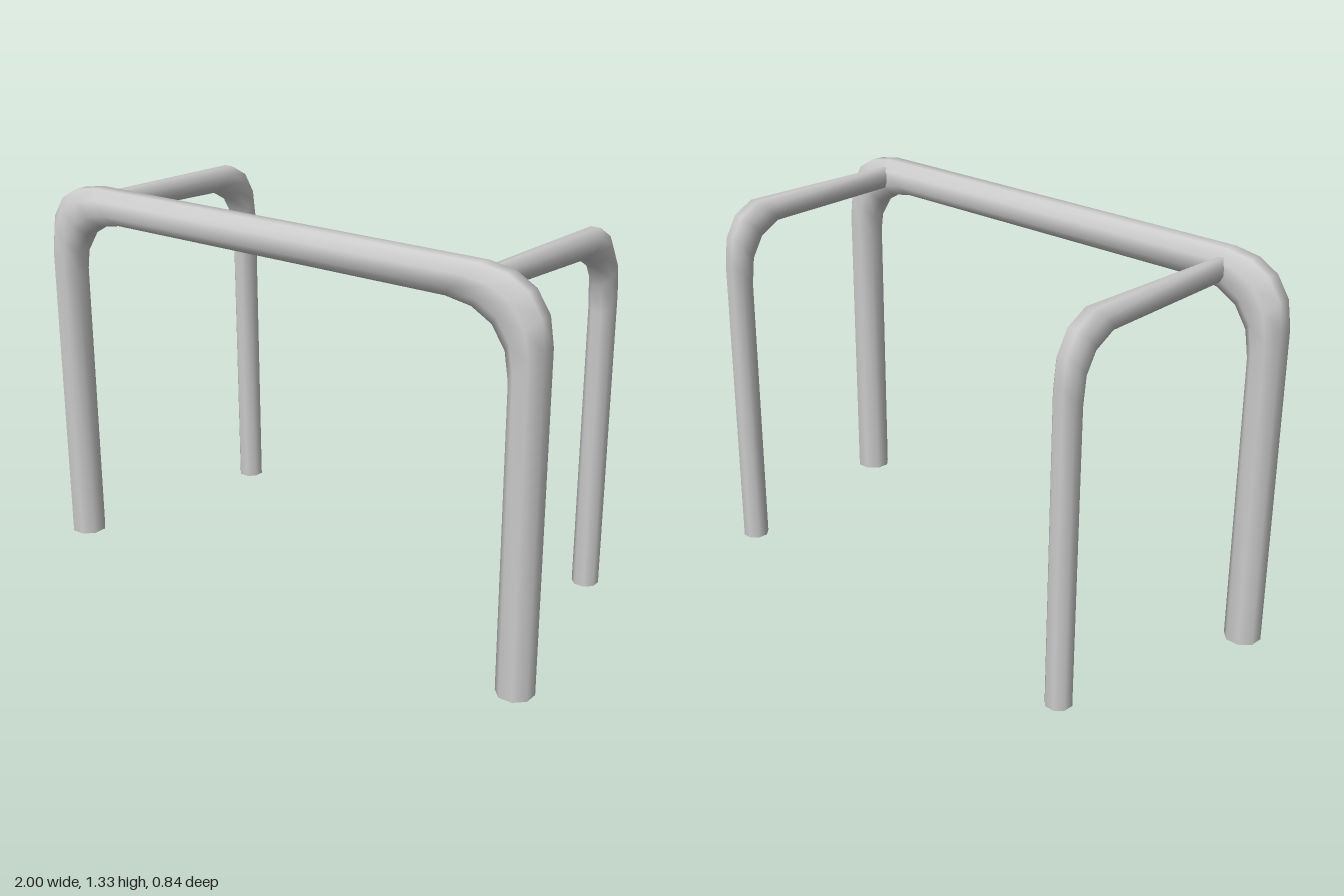
import * as THREE from 'three';

const SIDES = 8;

// Sweeps a capped tube through rings given as { c: centre, a, b: half-axes }.
function tube(name, rings) {
  const pos = [], index = [];
  const k = 1 / Math.cos(Math.PI / SIDES);
  const addRing = ({ c, a, b }) => {
    for (let j = 0; j < SIDES; j++) {
      const t = ((j + 0.5) / SIDES) * Math.PI * 2;
      for (let n = 0; n < 3; n++) pos.push(c[n] + k * (a[n] * Math.cos(t) + b[n] * Math.sin(t)));
    }
  };
  rings.forEach(addRing);
  for (let i = 0; i < rings.length - 1; i++) {
    for (let j = 0; j < SIDES; j++) {
      const j1 = (j + 1) % SIDES, p = i * SIDES, q = p + SIDES;
      index.push(p + j, p + j1, q + j, p + j1, q + j1, q + j);
    }
  }
  // flat end caps with their own vertices
  [rings[0], rings[rings.length - 1]].forEach((ring, end) => {
    const s = pos.length / 3;
    addRing(ring);
    for (let j = 1; j < SIDES - 1; j++) {
      if (end) index.push(s, s + j, s + j + 1);
      else index.push(s, s + j + 1, s + j);
    }
  });
  const geo = new THREE.BufferGeometry();
  geo.setAttribute('position', new THREE.Float32BufferAttribute(pos, 3));
  geo.setIndex(index);
  geo.computeVertexNormals();
  const mesh = new THREE.Mesh(geo, new THREE.MeshStandardMaterial({ color: 0xcccccc }));
  mesh.name = name;
  return mesh;
}

export function createModel() {
  const group = new THREE.Group();
  group.name = 'rollBar';

  // Main hoop: the bend keeps its rings slanted at 45 degrees
  const r = 0.0575, z = 0.365;
  const bend = [[0.9425, 1.06], [0.928, 1.152], [0.882, 1.222], [0.812, 1.262], [0.722, 1.277]];
  const half = (s) => [
    { c: [s * 0.9425, 0, z], a: [s * r, 0, 0], b: [0, 0, r] },
    ...bend.map(([x, y]) => ({ c: [s * x, y, z], a: [s * r, r, 0], b: [0, 0, r] })),
  ];
  group.add(tube('mainHoop', [...half(-1), ...half(1).reverse()]));

  // Rear stays: upright leg, bend, then a bar narrowing towards the hoop
  const stayBend = [[-0.376, 1.05], [-0.365, 1.145], [-0.323, 1.218], [-0.25, 1.26]];
  for (const [name, x] of [['leftRearStay', 0.775], ['rightRearStay', -0.775]]) {
    group.add(tube(name, [
      { c: [x, 0.015, -0.378], a: [0, 0, -0.043], b: [-0.042, 0, 0] },
      ...stayBend.map(([sz, y]) => ({ c: [x, y, sz], a: [0, 0.042, -0.043], b: [-0.042, 0, 0] })),
      { c: [x, 1.273, 0.32], a: [0, 0.038, 0], b: [-0.022, 0, 0] },
    ]));
  }
  return group;
}
